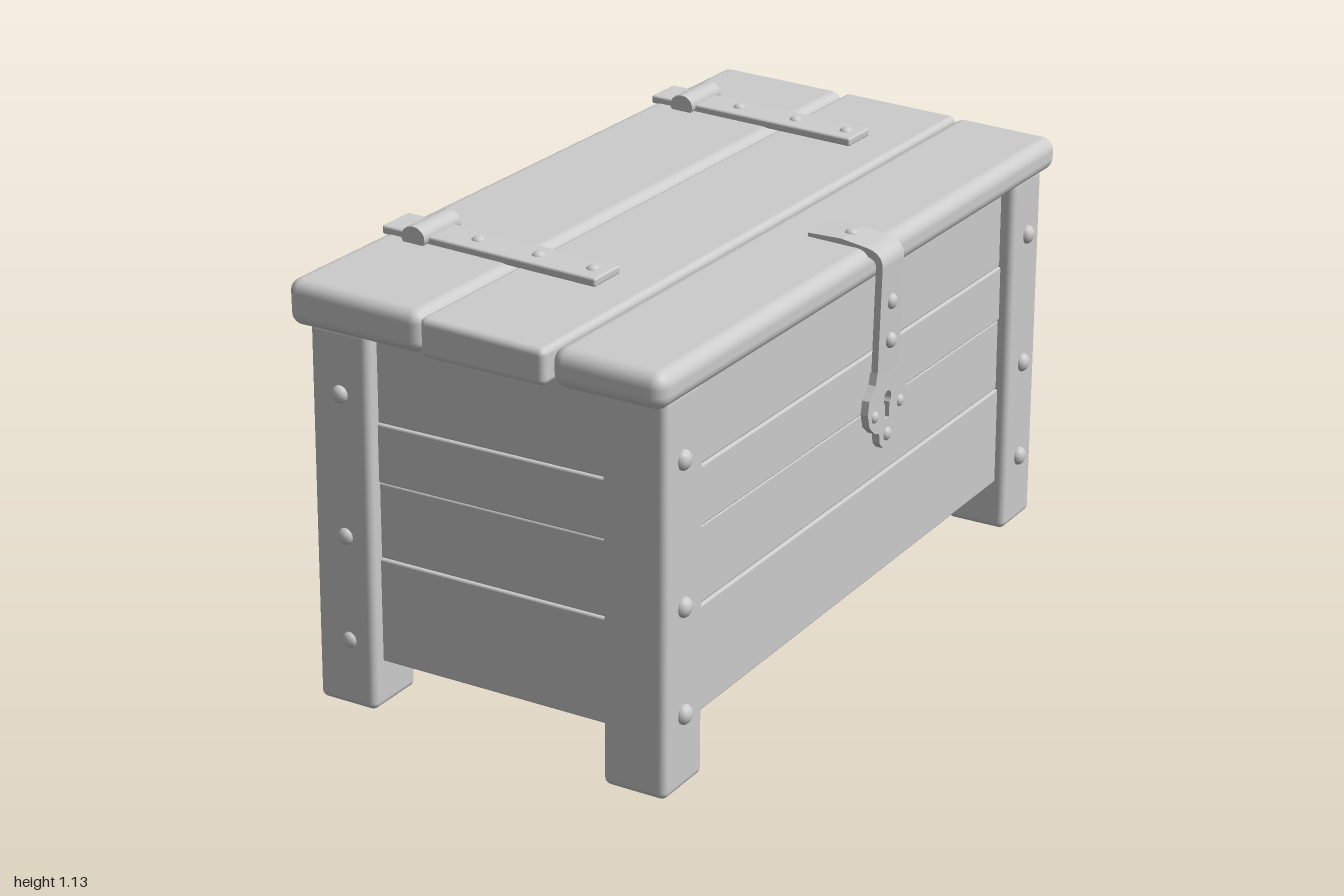
import * as THREE from 'three';
import { RoundedBoxGeometry } from 'three/addons/geometries/RoundedBoxGeometry.js';

export function createModel() {
  const chest = new THREE.Group();
  chest.name = 'chest';
  const grey = new THREE.MeshStandardMaterial({ color: 0xcccccc });
  grey.name = 'plain grey';

  const add = (name, geometry, parent = chest) => {
    const mesh = new THREE.Mesh(geometry, grey);
    mesh.name = name;
    parent.add(mesh);
    return mesh;
  };
  const group = (name) => {
    const g = new THREE.Group();
    g.name = name;
    chest.add(g);
    return g;
  };

  // Rounded beam between two corners, optionally reshaped by a vertex rule
  const beam = (name, [x0, x1], [y0, y1], [z0, z1], radius, parent, rule) => {
    const geo = new RoundedBoxGeometry(x1 - x0, y1 - y0, z1 - z0, 3, radius);
    geo.translate((x0 + x1) / 2, (y0 + y1) / 2, (z0 + z1) / 2);
    if (rule) {
      const p = geo.attributes.position;
      const v = new THREE.Vector3();
      for (let i = 0; i < p.count; i++) {
        v.fromBufferAttribute(p, i);
        rule(v);
        p.setXYZ(i, v.x, v.y, v.z);
      }
    }
    return add(name, geo, parent);
  };

  // Low domed nail head, flattened along one axis
  const stud = (x, y, z, axis, parent, r = 0.025) => {
    const mesh = add('stud', new THREE.SphereGeometry(r, 10, 8), parent);
    mesh.position.set(x, y, z);
    mesh.scale[axis] = 0.75;
  };

  // Box body: horizontal boards of slightly uneven depth
  const body = group('body');
  const seams = [0.135, 0.405, 0.6, 0.75, 0.985];
  const insets = [0, 0.005, 0.002, 0.006];
  insets.forEach((d, i) => {
    beam('bodyBoard', [-0.475 + d, 0.43 - d], [seams[i], seams[i + 1]], [-0.915 + d, 0.915 - d], 0.006, body);
  });

  // Corner posts: the hinge side leans out a little and ends higher
  const posts = group('cornerPosts');
  for (const front of [1, -1]) {
    const z = front > 0 ? [0.78, 0.95] : [-0.95, -0.785];
    const lean = (amount) => (v) => {
      const t = 1 - v.y;
      v.x += amount * t;
      v.z += front * 0.008 * (t - 0.5);
    };
    beam('hingeSidePost', [-0.502, -0.338], [0.015, 0.985], z, 0.018, posts, lean(-0.014));
    beam('latchSidePost', [0.293, 0.461], [0, 0.985], z, 0.018, posts, lean(-0.003));
    for (const y of [0.82, 0.46, 0.19]) {
      stud(-0.508, y, front * 0.87, 'x', posts);
      stud(0.46, y, front * 0.87, 'x', posts);
      stud(-0.42, y, front * 0.948, 'z', posts, 0.022);
      if (front < 0) stud(0.375, y, -0.948, 'z', posts, 0.022);
    }
  }

  // Lid: three planks sloping down towards the latch
  const lid = group('lid');
  const lidTop = (x) => 1.096 - (x + 0.53) * 0.04;
  const slope = (v) => {
    v.y -= (v.x + 0.53) * (v.y > 1.03 ? 0.04 : 0.013);
  };
  beam('lidPlank', [-0.53, -0.158], [0.983, 1.096], [-1, 0.99], 0.03, lid, slope);
  beam('lidPlank', [-0.152, 0.181], [0.986, 1.093], [-1, 1], 0.016, lid, slope);
  beam('lidPlank', [0.187, 0.48], [0.983, 1.098], [-0.995, 0.99], 0.035, lid, slope);
  beam('lidCore', [-0.4, 0.4], [0.99, 1.06], [-0.95, 0.95], 0.01, lid, slope);

  // Hinges: straps with a barrel and nail heads
  for (const z of [-0.66, 0.56]) {
    const hinge = group('hinge');
    const strap = add('hingeStrap', new RoundedBoxGeometry(0.6, 0.022, 0.11, 2, 0.006), hinge);
    strap.position.set(-0.23, lidTop(-0.23) + 0.007, z);
    strap.rotation.z = -0.04;
    const barrel = add('hingeBarrel', new THREE.CylinderGeometry(0.029, 0.029, 0.15, 14), hinge);
    barrel.rotation.x = Math.PI / 2;
    barrel.scale.x = 1.15;
    barrel.position.set(-0.425, 1.106, z);
    for (const x of [-0.29, -0.12, 0.03]) stud(x, lidTop(x) + 0.014, z, 'y', hinge, 0.018);
  }

  // Latch strap: bent bar folded over the lid edge
  const latch = group('latch');
  const latchZ = -0.01;
  const side = new THREE.Shape();
  side.moveTo(0.31, 1.056);
  side.lineTo(0.31, 1.074);
  side.lineTo(0.4, 1.075);
  side.lineTo(0.47, 1.064);
  side.quadraticCurveTo(0.513, 1.056, 0.514, 1.02);
  side.lineTo(0.505, 0.7);
  side.lineTo(0.488, 0.7);
  side.lineTo(0.496, 1.02);
  side.quadraticCurveTo(0.496, 1.04, 0.46, 1.045);
  side.lineTo(0.4, 1.055);
  const bar = new THREE.ExtrudeGeometry(side, { depth: 0.11, bevelEnabled: false });
  add('latchStrap', bar.translate(0, 0, latchZ - 0.055), latch);

  // Latch plate: lobed outline with a keyhole
  const half = [[0.055, 0.75], [0.062, 0.72], [0.094, 0.69], [0.1, 0.655], [0.09, 0.62],
    [0.062, 0.595], [0.04, 0.588], [0.036, 0.56], [0.02, 0.543]];
  const outline = [...half, ...half.map(([u, y]) => [-u, y]).reverse()];
  const plate = new THREE.Shape(outline.map(([u, y]) => new THREE.Vector2(u, y)));
  const keyhole = new THREE.Path();
  keyhole.moveTo(-0.01, 0.615);
  keyhole.lineTo(0.01, 0.615);
  keyhole.lineTo(0.01, 0.655);
  keyhole.absarc(0, 0.668, 0.019, -0.9, Math.PI + 0.9, false);
  keyhole.lineTo(-0.01, 0.615);
  plate.holes.push(keyhole);
  const plateGeo = new THREE.ExtrudeGeometry(plate, { depth: 0.02, bevelEnabled: false, curveSegments: 8 });
  add('latchPlate', plateGeo.rotateY(Math.PI / 2).translate(0.486, 0, latchZ), latch);

  // Nails on the latch
  stud(0.4, 1.07, latchZ, 'y', latch, 0.018);
  for (const y of [0.92, 0.82]) stud(0.51, y, latchZ, 'x', latch, 0.02);
  for (const s of [-1, 1]) stud(0.503, 0.64, latchZ + s * 0.065, 'x', latch, 0.016);
  stud(0.503, 0.575, latchZ, 'x', latch, 0.018);

  return chest;
}
